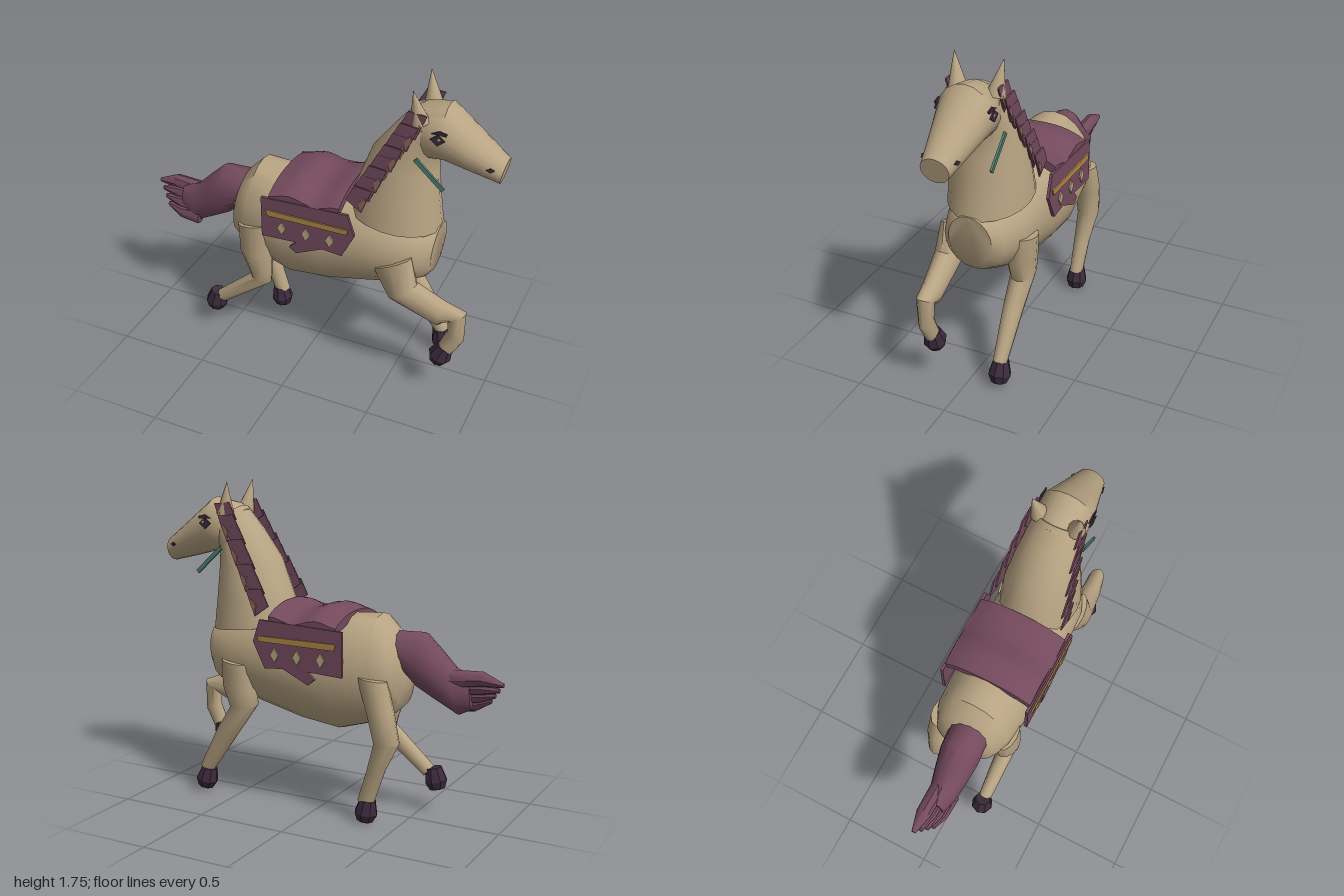
import * as THREE from 'three';
import { toCreasedNormals } from 'three/addons/utils/BufferGeometryUtils.js';

const mat = (name, color) => {
  const m = new THREE.MeshStandardMaterial({ color });
  m.name = name;
  return m;
};

// Loft through elliptical rings [x1, y1, x2, y2, halfWidth, z];
// the first point lies on the left of the path, seen from +z.
function loft(rings, sides = 16, crease = 0.75) {
  const pos = [], idx = [], n = rings.length;
  for (const [x1, y1, x2, y2, w, z = 0] of rings) {
    for (let j = 0; j < sides; j++) {
      const a = (j / sides) * Math.PI * 2, c = Math.cos(a) / 2;
      pos.push((x1 + x2) / 2 + (x1 - x2) * c, (y1 + y2) / 2 + (y1 - y2) * c, z + w * Math.sin(a));
    }
  }
  for (let i = 0; i < n - 1; i++) {
    for (let j = 0; j < sides; j++) {
      const k = (j + 1) % sides, a = i * sides, b = a + sides;
      idx.push(a + j, a + k, b + k, a + j, b + k, b + j);
    }
  }
  const end = (n - 1) * sides;
  for (let j = 1; j < sides - 1; j++) {
    idx.push(0, j + 1, j, end, end + j, end + j + 1);
  }
  const g = new THREE.BufferGeometry();
  g.setAttribute('position', new THREE.Float32BufferAttribute(pos, 3));
  g.setIndex(idx);
  return toCreasedNormals(g, crease);
}

// Thin flat plate in the xy plane, centred on its thickness
function plate(points, depth = 0.008) {
  const shape = new THREE.Shape(points.map(([x, y]) => new THREE.Vector2(x, y)));
  return new THREE.ExtrudeGeometry(shape, { depth, bevelEnabled: false }).translate(0, 0, -depth / 2);
}

const diamond = (w, h) => plate([[-w, 0], [0, -h], [w, 0], [0, h]]);

export function createModel() {
  const group = new THREE.Group();
  const tan = mat('tan coat', 0xb8a483);
  const plum = mat('plum hair and saddle', 0x744a5d);
  const rose = mat('rose hair streak', 0x91655f);
  const dark = mat('dark hoof', 0x3b2a3c);
  const gold = mat('gold trim', 0xae8648);
  const teal = mat('teal bridle', 0x4f7d70);

  const add = (name, geo, m, x = 0, y = 0, z = 0) => {
    const mesh = new THREE.Mesh(geo, m);
    mesh.name = name;
    mesh.position.set(x, y, z);
    group.add(mesh);
    return mesh;
  };

  // Body, neck and head
  add('body', loft([
    [-0.46, 0.93, -0.485, 0.76, 0.09], [-0.41, 1.02, -0.465, 0.62, 0.17],
    [-0.33, 1.1, -0.37, 0.53, 0.215], [-0.17, 1.09, -0.11, 0.45, 0.235],
    [0.05, 1.08, 0.12, 0.48, 0.24], [0.25, 1.08, 0.37, 0.54, 0.235],
    [0.45, 1.05, 0.54, 0.59, 0.225], [0.62, 0.98, 0.64, 0.64, 0.17],
    [0.69, 0.96, 0.67, 0.68, 0.12]], 20), tan);
  add('neck', loft([
    [0.18, 1.0, 0.69, 0.94, 0.215], [0.22, 1.12, 0.665, 1.12, 0.205],
    [0.3, 1.34, 0.65, 1.27, 0.175], [0.42, 1.5, 0.64, 1.38, 0.15],
    [0.52, 1.62, 0.68, 1.45, 0.13]], 20), tan);
  add('head', loft([
    [0.5, 1.6, 0.57, 1.38, 0.1], [0.56, 1.635, 0.61, 1.35, 0.135],
    [0.69, 1.66, 0.7, 1.36, 0.145], [0.82, 1.56, 0.81, 1.33, 0.115],
    [1.0, 1.42, 0.975, 1.29, 0.075]], 18), tan);

  // Legs: each with rings from the top down and a hoof [x, y, angle]
  const legs = [
    ['leftFrontLeg', [
      [0.6, 0.84, 0.39, 0.73, 0.05, 0.19], [0.636, 0.68, 0.49, 0.57, 0.07, 0.19],
      [0.786, 0.604, 0.76, 0.455, 0.055, 0.175], [0.904, 0.56, 0.81, 0.5, 0.045, 0.165],
      [0.904, 0.38, 0.81, 0.42, 0.037, 0.165], [0.85, 0.28, 0.77, 0.32, 0.037, 0.165]], [0.785, 0.255, -110]],
    ['rightFrontLeg', [
      [0.55, 0.8, 0.36, 0.78, 0.08, -0.18], [0.55, 0.65, 0.35, 0.63, 0.075, -0.175],
      [0.51, 0.53, 0.345, 0.55, 0.065, -0.17], [0.6, 0.4, 0.48, 0.36, 0.052, -0.165],
      [0.725, 0.16, 0.645, 0.13, 0.037, -0.16]], [0.69, 0.085, -76]],
    ['leftHindLeg', [
      [-0.2, 0.82, -0.4, 0.78, 0.06, 0.18], [-0.205, 0.62, -0.39, 0.62, 0.07, 0.18],
      [-0.21, 0.49, -0.345, 0.5, 0.06, 0.175], [-0.22, 0.415, -0.335, 0.45, 0.05, 0.17],
      [-0.51, 0.19, -0.56, 0.25, 0.037, 0.165]], [-0.575, 0.185, -102]],
    ['rightHindLeg', [
      [-0.27, 0.8, -0.44, 0.78, 0.06, -0.18], [-0.33, 0.62, -0.48, 0.62, 0.07, -0.18],
      [-0.37, 0.45, -0.51, 0.455, 0.06, -0.175], [-0.325, 0.29, -0.43, 0.3, 0.045, -0.165],
      [-0.27, 0.12, -0.36, 0.1, 0.037, -0.16]], [-0.32, 0.065, -82]],
  ];
  for (const [name, rings, [x, y, deg]] of legs) {
    add(name, loft(rings, 12), tan);
    const a = deg * Math.PI / 180, c = Math.cos(a), s = Math.sin(a);
    const z = rings.at(-1)[5];
    const hoof = [[-0.06, 0.045], [0.015, 0.064], [0.058, 0.045]].map(([o, r]) =>
      [x + c * o - s * r, y + s * o + c * r, x + c * o + s * r, y + s * o - c * r, r * 0.95, z]);
    add(name + 'Hoof', loft(hoof, 8, 0.3), dark);
  }

  // Tail with four locks at its end
  add('tail', loft([
    [-0.47, 0.8, -0.39, 1.01, 0.11, 0.02], [-0.53, 0.72, -0.56, 1.015, 0.11, 0.025],
    [-0.64, 0.66, -0.645, 0.935, 0.095, 0.025], [-0.755, 0.6, -0.73, 0.85, 0.075, 0.025],
    [-0.83, 0.64, -0.82, 0.82, 0.05, 0.025]], 12), plum);
  for (let k = 0; k < 4; k++) {
    const b = 0.605 + 0.045 * k, m = 0.655 + 0.05 * k, t = 0.685 + 0.035 * k, z = 0.06 - 0.02 * k;
    add('tailLock', loft([
      [-0.72, b, -0.7, b + 0.1, 0.045, z], [-0.83 - 0.02 * k, m - 0.035, -0.83 - 0.02 * k, m + 0.045, 0.04, z],
      [-0.917 - 0.027 * k, t - 0.012, -0.917 - 0.027 * k, t + 0.012, 0.012, z]], 8), plum);
  }

  // Saddle: a slab bent over the back
  const saddle = new THREE.BoxGeometry(0.4, 0.05, 0.5, 10, 1, 14);
  const p = saddle.attributes.position;
  for (let i = 0; i < p.count; i++) {
    const x = p.getX(i) + 0.02, z = Math.abs(p.getZ(i));
    const y = 1.09 + 0.015 * Math.cos((x + 0.06) / 0.27 * Math.PI * 2) - 0.06 * (z / 0.25) ** 2.5;
    p.setXY(i, x, y + p.getY(i));
  }
  add('saddle', toCreasedNormals(saddle, 0.7), plum);

  for (const s of [1, -1]) {
    const side = s > 0 ? 'left' : 'right';

    // Saddle blanket with trim
    add(side + 'Blanket', plate([[-0.22, 1.03], [-0.22, 0.79], [-0.02, 0.8], [-0.06, 0.76], [-0.02, 0.73],
      [0.13, 0.8], [0.24, 0.79], [0.31, 0.93], [0.27, 1.05]], 0.016), plum, 0, 0, s * 0.25);
    add(side + 'BlanketStripe', plate([[-0.19, 0.965], [-0.18, 0.93], [0.27, 0.935], [0.28, 0.965]]), gold, 0, 0, s * 0.264);
    for (const x of [-0.1, 0.04, 0.175]) {
      add(side + 'BlanketDiamond', diamond(0.025, 0.04), tan, x, 0.87, s * 0.264);
    }

    // Mane: overlapping pointed plates with streaks
    for (let i = 0; i < 8; i++) {
      const t = i / 7, x = 0.525 - 0.24 * t, y = 1.645 - 0.44 * t;
      const z = s * (0.137 + 0.065 * t + (i % 2) * 0.008);
      add(side + 'ManeLock', plate([[0, 0], [-0.045, -0.09], [0.04, -0.15], [0.095, -0.01]]), plum, x, y, z);
      add(side + 'ManeStreak', plate([[0.06, -0.055], [0.03, -0.09], [0.036, -0.135], [0.066, -0.08]], 0.006),
        rose, x, y, z + s * 0.006);
    }

    // Ear, leaning outward
    const ear = new THREE.ConeGeometry(0.05, 0.18, 10);
    const e = add(side + 'Ear', toCreasedNormals(ear, 0.9), tan, 0.557, 1.667, s * 0.115);
    e.rotation.set(s * 0.17, 0, 0.18);

    // Face
    add(side + 'Eye', diamond(0.038, 0.03), dark, 0.68, 1.525, s * 0.145);
    add(side + 'EyeGlint', diamond(0.01, 0.008), tan, 0.688, 1.532, s * 0.147);
    add(side + 'Brow', plate([[-0.04, -0.008], [0.035, -0.01], [0.04, 0.002], [0, 0.012]]), dark, 0.685, 1.56, s * 0.139);
    add(side + 'Nostril', diamond(0.02, 0.012), dark, 0.935, 1.39, s * 0.089).rotation.y = s * 0.22;

    // Bridle strap
    const strap = add(side + 'BridleStrap', new THREE.BoxGeometry(0.205, 0.022, 0.012), teal, 0.652, 1.328, s * 0.15);
    strap.rotation.z = -0.74;
  }
  return group;
}
